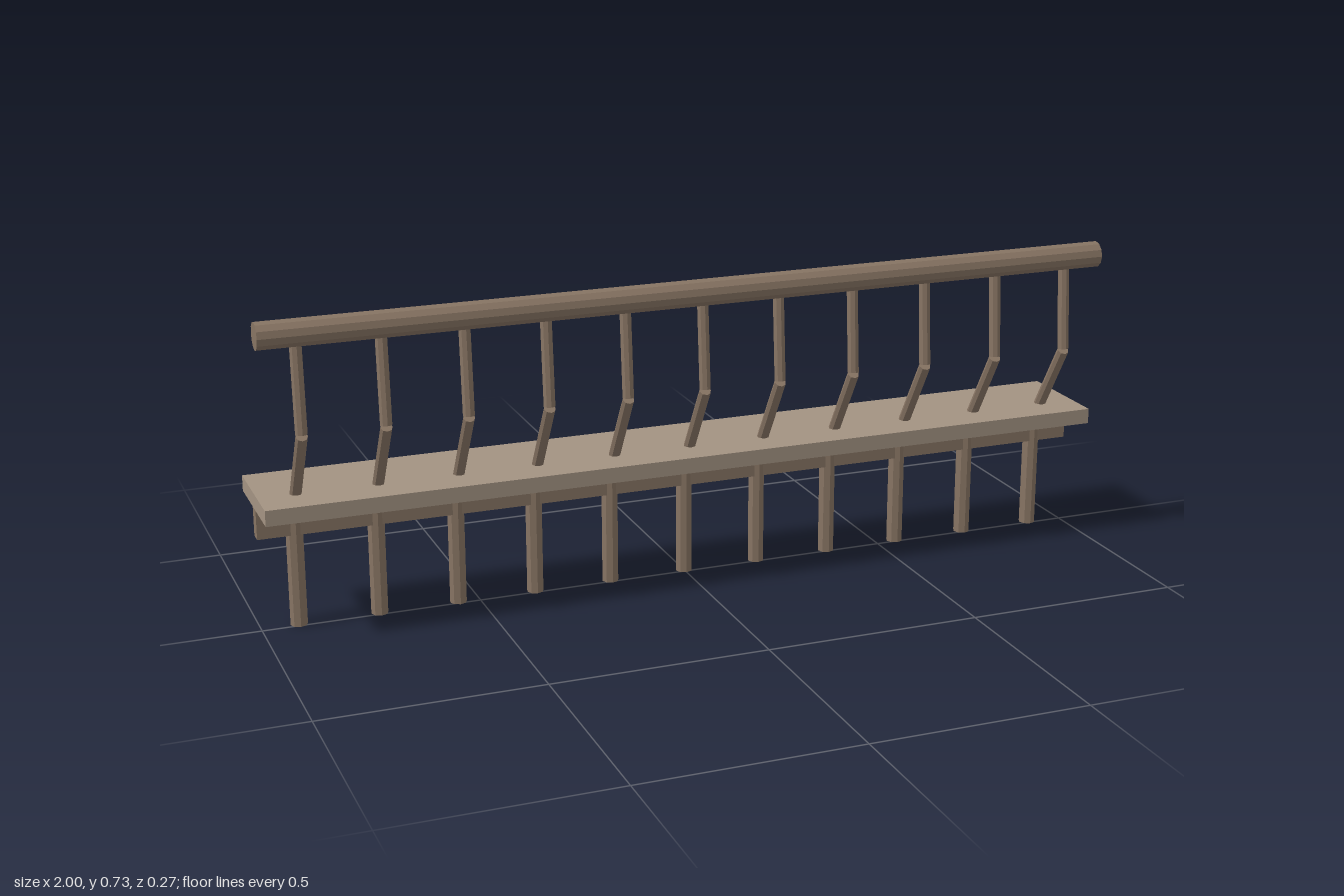
import * as THREE from 'three';

export function createModel() {
  const model = new THREE.Group();
  model.name = 'railedBench';
  const plankWood = new THREE.MeshStandardMaterial({ color: 0xa39382, flatShading: true });
  const frameWood = new THREE.MeshStandardMaterial({ color: 0x877463, flatShading: true });

  function add(name, geometry, material, x, y, z) {
    const mesh = new THREE.Mesh(geometry, material);
    mesh.name = name;
    mesh.position.set(x, y, z);
    model.add(mesh);
    return mesh;
  }

  // Round rod between two [y, z] points in the plane at x
  function rod(name, x, [y0, z0], [y1, z1], radius) {
    const length = Math.hypot(y1 - y0, z1 - z0);
    const geometry = new THREE.CylinderGeometry(radius, radius, length, 8);
    const mesh = add(name, geometry, frameWood, x, (y0 + y1) / 2, (z0 + z1) / 2);
    mesh.rotation.x = Math.atan2(z1 - z0, y1 - y0);
  }

  // Seat plank and the beam beneath it
  add('seat', new THREE.BoxGeometry(2, 0.036, 0.25), plankWood, 0, 0.301, -0.011);
  add('beam', new THREE.BoxGeometry(2, 0.068, 0.03), frameWood, 0, 0.249, -0.011);

  // Top rail
  const rail = add('topRail', new THREE.CylinderGeometry(0.031, 0.031, 2, 12), frameWood, 0, 0.701, 0.105);
  rail.rotation.z = Math.PI / 2;

  // Legs and bent back posts, evenly spaced
  for (let i = -5; i <= 5; i++) {
    const x = i * 0.183;
    rod('leg', x, [0, -0.011], [0.283, -0.011], 0.0195);
    rod('lowerPost', x, [0.311, 0.021], [0.478, 0.123], 0.0135);
    rod('upperPost', x, [0.482, 0.122], [0.695, 0.105], 0.0135);
  }
  return model;
}
